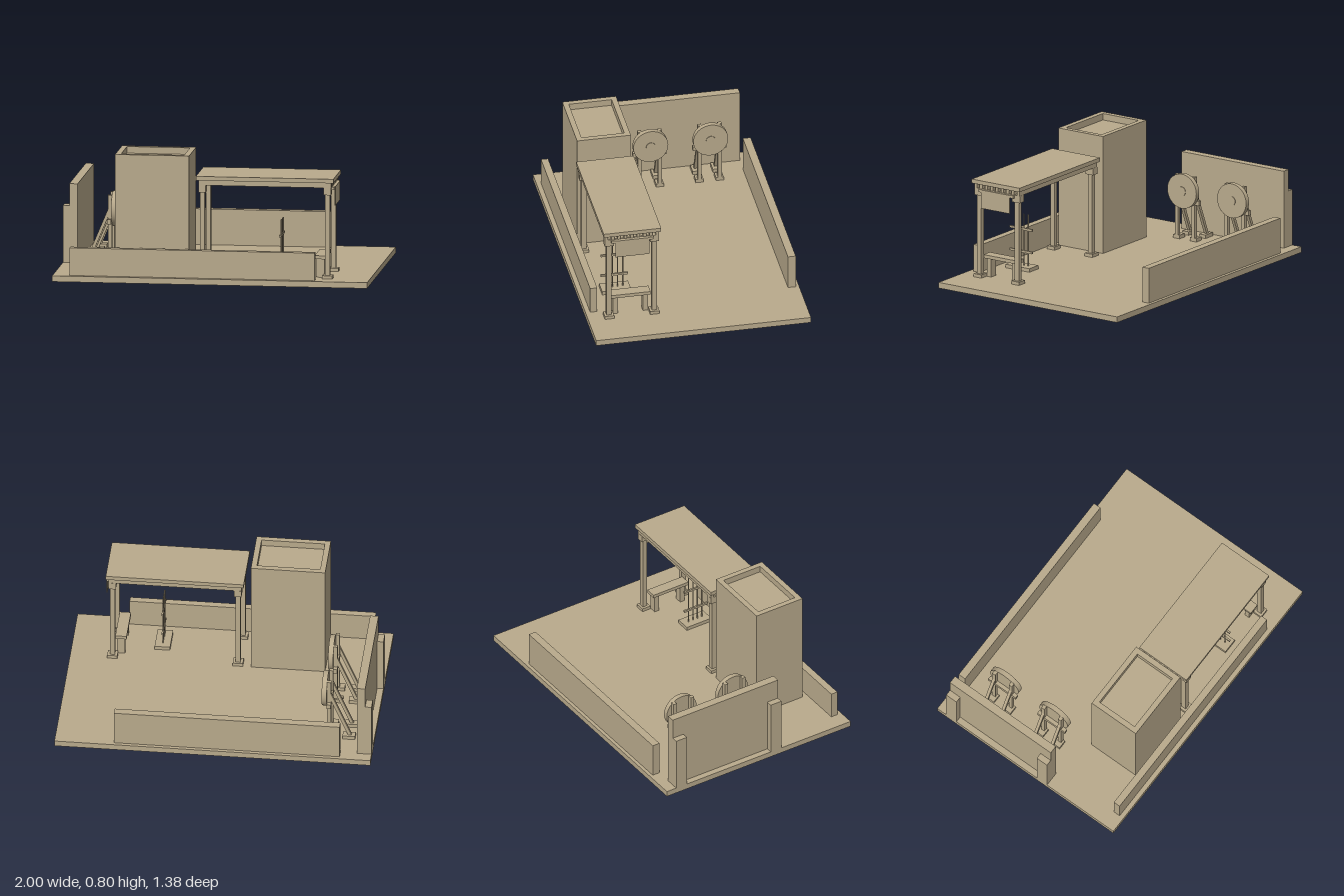
import * as THREE from 'three';

export function createModel() {
  const root = new THREE.Group();
  root.name = 'archeryYard';
  const stone = new THREE.MeshStandardMaterial({ color: 0xb9aa8c });
  stone.name = 'sandTan';
  const G = 0.037; // top of the ground slab

  const add = (name, geometry, parent = root) => {
    const mesh = new THREE.Mesh(geometry, stone);
    mesh.name = name;
    parent.add(mesh);
    return mesh;
  };
  // Box given by its extents on each axis
  const box = (name, x0, x1, y0, y1, z0, z1, parent = root) => {
    const mesh = add(name, new THREE.BoxGeometry(x1 - x0, y1 - y0, z1 - z0), parent);
    mesh.position.set((x0 + x1) / 2, (y0 + y1) / 2, (z0 + z1) / 2);
    return mesh;
  };
  const group = (name) => {
    const g = new THREE.Group();
    g.name = name;
    root.add(g);
    return g;
  };

  // Ground and boundary walls
  box('ground', -1, 1, 0, G, -0.69, 0.69);
  box('frontWall', -0.893, 0.663, G, 0.213, 0.615, 0.66);
  box('backWall', -0.803, 0.625, G, 0.265, -0.668, -0.618);

  // Backstop with two buttresses
  box('backstop', -0.96, -0.907, G, 0.54, -0.62, 0.17);
  box('buttress', -1, -0.96, G, 0.4, -0.62, -0.54);
  box('buttress', -1, -0.96, G, 0.4, 0.09, 0.17);

  // Tower with a sunken roof inside a parapet
  const tower = group('tower');
  const [tx0, tx1, tz0, tz1, rim] = [-0.615, -0.145, 0.235, 0.58, 0.035];
  box('towerBody', tx0, tx1, G, 0.76, tz0, tz1, tower);
  box('parapetFront', tx0, tx1, 0.76, 0.802, tz1 - rim, tz1, tower);
  box('parapetBack', tx0, tx1, 0.76, 0.802, tz0, tz0 + rim, tower);
  box('parapetRight', tx0, tx0 + rim, 0.76, 0.802, tz0 + rim, tz1 - rim, tower);
  box('parapetLeft', tx1 - rim, tx1, 0.76, 0.802, tz0 + rim, tz1 - rim, tower);

  // Shelter: posts, beams, joists, roof and hanging board
  const shelter = group('shelter');
  box('shelterRoof', -0.1, 0.773, 0.65, 0.676, 0.226, 0.595, shelter);
  for (const x of [-0.062, 0.733]) {
    for (const z of [0.265, 0.556]) {
      box('postBase', x - 0.032, x + 0.032, G, 0.058, z - 0.03, z + 0.03, shelter);
      box('post', x - 0.015, x + 0.015, 0.058, 0.572, z - 0.016, z + 0.016, shelter);
      box('postCapital', x - 0.023, x + 0.023, 0.572, 0.618, z - 0.029, z + 0.029, shelter);
    }
    box('crossBeam', x - 0.015, x + 0.015, 0.598, 0.62, 0.265, 0.556, shelter);
  }
  for (let i = 0; i < 9; i++) {
    const z = 0.247 + i * 0.041;
    box('joist', -0.085, 0.758, 0.618, 0.65, z - 0.01, z + 0.01, shelter);
  }
  box('signRail', 0.755, 0.772, 0.6, 0.618, 0.275, 0.545, shelter);
  box('hangingBoard', 0.77, 0.777, 0.498, 0.618, 0.302, 0.52, shelter);

  // Bench
  const bench = group('bench');
  box('benchSeat', 0.647, 0.718, 0.156, 0.178, 0.283, 0.545, bench);
  for (const z of [0.315, 0.507]) {
    box('benchLeg', 0.658, 0.708, G, 0.156, z - 0.016, z + 0.016, bench);
  }

  // Rack of upright rods
  const rack = group('rack');
  box('rackBase', 0.38, 0.478, G, 0.06, 0.36, 0.545, rack);
  for (const y of [0.15, 0.297]) box('rackBar', 0.423, 0.435, y - 0.007, y + 0.007, 0.37, 0.545, rack);
  for (const z of [0.403, 0.437, 0.47, 0.504]) {
    const rod = add('rackRod', new THREE.CylinderGeometry(0.004, 0.004, 0.335, 8), rack);
    rod.position.set(0.429, 0.2275, z);
  }

  // Round targets on braced stands
  for (const cz of [0, -0.385]) {
    const target = group('target');
    const disc = (name, radius, depth, x) => {
      const mesh = add(name, new THREE.CylinderGeometry(radius, radius, depth, 40), target);
      mesh.rotation.z = Math.PI / 2;
      mesh.position.set(x, 0.362, cz);
    };
    disc('targetDisc', 0.112, 0.032, -0.686);
    disc('targetCentre', 0.03, 0.004, -0.668);
    box('standCrossbar', -0.728, -0.703, 0.275, 0.305, cz - 0.108, cz + 0.108, target);
    for (const side of [-1, 1]) {
      const z = cz + side * 0.065;
      box('standPost', -0.727, -0.702, 0.06, 0.457, z - 0.012, z + 0.012, target);
      box('frontFoot', -0.76, -0.702, G, 0.06, z - 0.025, z + 0.025, target);
      box('backFoot', -0.88, -0.8, G, 0.06, z - 0.025, z + 0.025, target);
      // Sloping brace from the back foot up to the post
      const dx = 0.135, dy = 0.32;
      const brace = add('standBrace', new THREE.BoxGeometry(0.02, Math.hypot(dx, dy), 0.02), target);
      brace.position.set(-0.782, 0.21, z);
      brace.rotation.z = -Math.atan2(dx, dy);
    }
  }

  return root;
}
